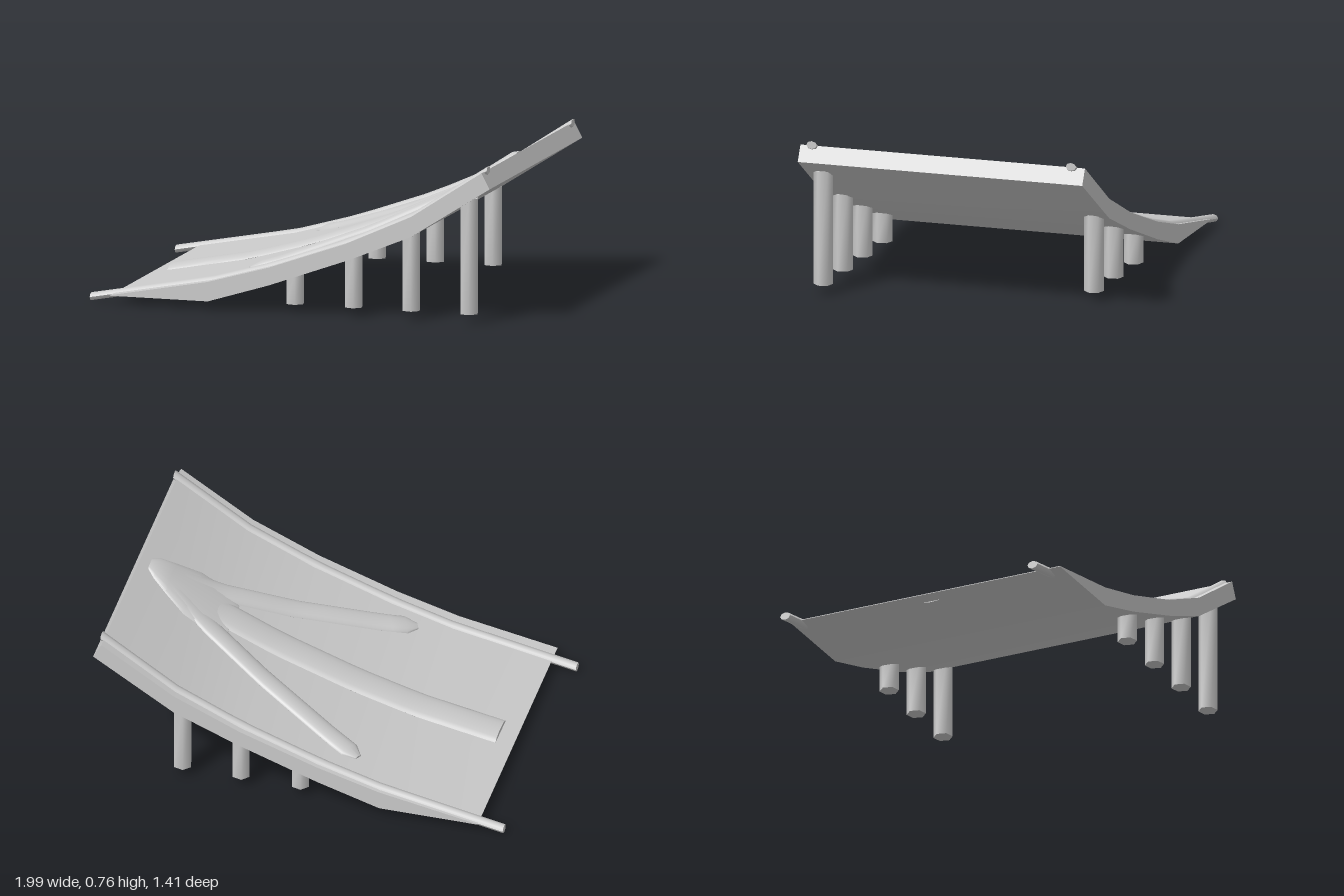
import * as THREE from 'three';
import { toCreasedNormals } from 'three/addons/utils/BufferGeometryUtils.js';

const material = new THREE.MeshStandardMaterial({ color: 0xcccccc });

// Side profile of the deck, upper and lower edge
const TOP = [[-0.88, 0.05], [-0.4, 0.14], [-0.1, 0.225], [0.28, 0.36], [0.6, 0.505], [0.95, 0.735]];
const BOTTOM = [[-0.88, 0.047], [-0.4, 0.047], [-0.1, 0.14], [0.3, 0.285], [0.6, 0.41], [0.99, 0.66]];

// Height of a profile at x, extended past both ends
function heightAt(profile, x) {
  let i = 0;
  while (i < profile.length - 2 && x > profile[i + 1][0]) i++;
  const [x0, y0] = profile[i], [x1, y1] = profile[i + 1];
  return y0 + (y1 - y0) * (x - x0) / (x1 - x0);
}

function part(name, geometry, crease = 0.6) {
  const mesh = new THREE.Mesh(toCreasedNormals(geometry, crease), material);
  mesh.name = name;
  return mesh;
}

// Closed oval bar lying along the deck; stations are [x, z, halfWidth, halfHeight]
function bar(stations, sides, lift = 0) {
  const pos = [], index = [];
  const n = stations.length;
  const first = stations[0], last = stations[n - 1];
  const d = new THREE.Vector2(last[0] - first[0], last[1] - first[1]).normalize();
  for (const [x, z, w, h] of stations) {
    for (let j = 0; j < sides; j++) {
      const a = (j / sides) * Math.PI * 2;
      const s = w * Math.cos(a);
      const px = x + d.y * s;
      pos.push(px, heightAt(TOP, px) + lift + h * Math.sin(a), z - d.x * s);
    }
  }
  for (let i = 0; i < n - 1; i++) {
    for (let j = 0; j < sides; j++) {
      const k = (j + 1) % sides;
      const a = i * sides + j, b = i * sides + k;
      index.push(a, b, a + sides, b, b + sides, a + sides);
    }
  }
  const end = (n - 1) * sides;
  for (let j = 1; j < sides - 1; j++) {
    index.push(0, j + 1, j, end, end + j, end + j + 1);
  }
  const g = new THREE.BufferGeometry();
  g.setAttribute('position', new THREE.Float32BufferAttribute(pos, 3));
  g.setIndex(index);
  return g;
}

// Evenly spaced stations on a straight plan line
function line(x0, z0, x1, z1, w, h, count = 16) {
  return Array.from({ length: count + 1 }, (_, i) => {
    const t = i / count;
    return [x0 + (x1 - x0) * t, z0 + (z1 - z0) * t, w, h];
  });
}

export function createModel() {
  const model = new THREE.Group();

  // Curved deck
  const outline = [...BOTTOM, ...TOP.slice().reverse()].map(([x, y]) => new THREE.Vector2(x, y));
  const deck = new THREE.ExtrudeGeometry(new THREE.Shape(outline), { depth: 1.41, bevelEnabled: false });
  deck.translate(0, 0, -0.705);
  model.add(part('deck', deck, 0.3));

  // Side rails, slightly skewed in plan
  model.add(part('frontRail', bar(line(-1, 0.62, 0.965, 0.645, 0.026, 0.019), 8, -0.004), 0.9));
  model.add(part('backRail', bar(line(-1, -0.672, 0.965, -0.64, 0.026, 0.019), 8, -0.004), 0.9));

  // Raised arrow: shaft, two arms and a broad head
  const arrow = new THREE.Group();
  arrow.name = 'arrow';
  arrow.add(part('arrowShaft', bar(line(-0.8, -0.01, 0.7, 0, 0.087, 0.022), 16), 0.9));
  for (const side of [1, -1]) {
    const arm = line(-0.2, side * 0.5, 0.82, side * 0.02, 0.056, 0.022);
    arm.unshift([-0.25, side * 0.525, 0.02, 0.008]);
    arrow.add(part(side > 0 ? 'frontArrowArm' : 'backArrowArm', bar(arm, 16), 0.9));
  }
  const head = [[0.5, 0.1], [0.58, 0.17], [0.7, 0.165], [0.8, 0.115], [0.87, 0.075], [0.905, 0.04]];
  arrow.add(part('arrowHead', bar(head.map(([x, w], i) => [x, 0, w, i === 0 || i === 5 ? 0.008 : 0.024]), 16), 0.9));
  model.add(arrow);

  // Support posts: four along the front, three along the back
  const xs = [0.005, 0.293, 0.577, 0.862];
  for (const side of [1, -1]) {
    xs.slice(0, side > 0 ? 4 : 3).forEach((x) => {
      const top = heightAt(BOTTOM, x) + 0.02;
      const post = new THREE.CylinderGeometry(0.046, 0.046, top - 0.047, 6);
      post.rotateY(Math.PI / 12);
      post.translate(x, (top + 0.047) / 2, side * 0.622);
      model.add(part(side > 0 ? 'frontPost' : 'backPost', post, 1.2));
    });
  }
  return model;
}
